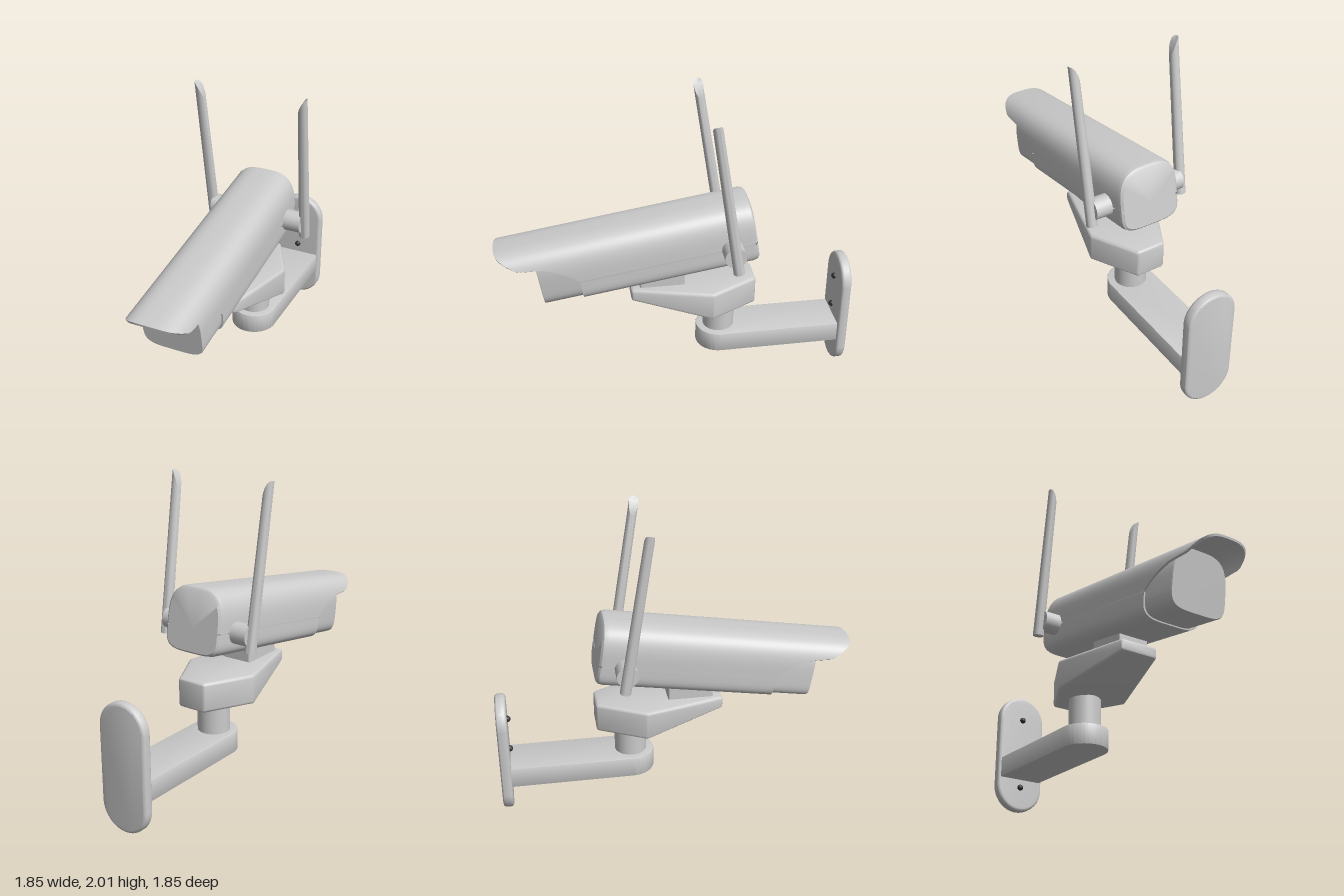
import * as THREE from 'three';
import { toCreasedNormals } from 'three/addons/utils/BufferGeometryUtils.js';
import { RoundedBoxGeometry } from 'three/addons/geometries/RoundedBoxGeometry.js';
import { ConvexGeometry } from 'three/addons/geometries/ConvexGeometry.js';

const grey = new THREE.MeshStandardMaterial({ color: 0xcccccc });
const shell = new THREE.MeshStandardMaterial({ color: 0xcccccc, side: THREE.DoubleSide });
const dark = new THREE.MeshStandardMaterial({ color: 0x333333 });

function add(parent, name, geometry, material = grey, x = 0, y = 0, z = 0) {
  const mesh = new THREE.Mesh(geometry, material);
  mesh.name = name;
  mesh.position.set(x, y, z);
  parent.add(mesh);
  return mesh;
}

// Skin between successive rows of points
function loft(rows) {
  const n = rows[0].length, index = [];
  for (let i = 0; i < rows.length - 1; i++) {
    for (let j = 0; j < n - 1; j++) {
      const a = i * n + j, b = a + n;
      index.push(a, a + 1, b, a + 1, b + 1, b);
    }
  }
  const geo = new THREE.BufferGeometry().setFromPoints(rows.flat());
  geo.setIndex(index);
  return toCreasedNormals(geo, 0.6);
}

// Housing section: a tall soft arch above the seam, a squarer tray below it
function section(from, to, steps) {
  const pts = [];
  for (let i = 0; i <= steps; i++) {
    const a = from + (to - from) * i / steps;
    const c = Math.cos(a), s = Math.sin(a);
    const n = s >= 0 ? 3.2 : 4.2, h = s >= 0 ? 0.26 : 0.155;
    pts.push([
      0.213 * Math.sign(c) * Math.abs(c) ** (2 / n),
      h * Math.sign(s) * Math.abs(s) ** (2 / n),
    ]);
  }
  return pts;
}

// Row of a section scaled by k; z may be a number or a function of height
const row = (sec, k, z, lift = 0) => sec.map(([u, v]) =>
  new THREE.Vector3(u * k, v * k + lift, typeof z === 'function' ? z(v) : z));

// Side cut of the sun visor: [height above seam, forward reach]
const visorCut = [[0, 1.16], [0.04, 1.2], [0.09, 1.275], [0.135, 1.37],
  [0.155, 1.52], [0.2, 1.585], [0.24, 1.635], [0.261, 1.655]];
function visorReach(v) {
  for (let i = 1; i < visorCut.length; i++) {
    const [v0, z0] = visorCut[i - 1], [v1, z1] = visorCut[i];
    if (v <= v1) return z0 + (z1 - z0) * Math.max(0, (v - v0) / (v1 - v0));
  }
  return 1.655;
}

function halfShell(sec, front, lift) {
  return loft([
    row(sec, 0, 0, lift), row(sec, 0.9, 0, lift), row(sec, 0.97, 0.012, lift),
    row(sec, 1, 0.04, lift), row(sec, 1, front, lift),
    row(sec, 0.945, front, lift), row(sec, 0.945, 0.1, lift),
  ]);
}

function buildCamera() {
  const cam = new THREE.Group();
  cam.name = 'cameraHead';

  // Housing
  add(cam, 'visorHood', halfShell(section(0, Math.PI, 64), visorReach, 0.005), shell);
  add(cam, 'lowerShell', halfShell(section(Math.PI, 2 * Math.PI, 48), 1.16, -0.005), shell);
  const full = section(0, 2 * Math.PI, 96);
  add(cam, 'innerBody', loft([
    row(full, 0, 0.02), row(full, 0.95, 0.02), row(full, 0.95, 1.4),
    row(full, 0.93, 1.41), row(full, 0, 1.41),
  ]), shell);

  // Antennas with knobs, one on each side
  for (const side of [1, -1]) {
    const knob = new THREE.CylinderGeometry(0.07, 0.07, 0.14, 24).rotateZ(Math.PI / 2);
    add(cam, 'antennaKnob', knob, grey, side * 0.255, 0, 0.168);

    const length = 1.05, r = 0.034;
    const rod = new THREE.CylinderGeometry(r * 0.9, r * 1.06, length, 24);
    const p = rod.attributes.position;
    for (let i = 0; i < p.count; i++) {
      // slanted tip, highest on the outer side
      if (p.getY(i) > 0) {
        const t = THREE.MathUtils.clamp((r - side * p.getX(i)) / (2 * r), 0, 1);
        p.setY(i, p.getY(i) - 0.13 * t * t);
      }
    }
    const antenna = add(cam, 'antenna', toCreasedNormals(rod, 0.6), grey,
      side * 0.342, -0.106 + length / 2, 0.165);
    antenna.rotation.z = -side * 0.015;
  }
  return cam;
}

// Wedge-shaped bracket: hull of small balls placed on its corners
function bracketGeometry() {
  const ball = new THREE.IcosahedronGeometry(0.022, 1).attributes.position;
  const pts = [];
  // half width, forward position, underside height
  for (const [w, z, low] of [[0.085, -0.475, 0.587], [0.238, -0.18, 0.587], [0.115, 0.318, 0.7]]) {
    for (const x of [w, -w]) {
      for (const y of [low, 0.743]) {
        for (let i = 0; i < ball.count; i++) {
          pts.push(new THREE.Vector3().fromBufferAttribute(ball, i).add(new THREE.Vector3(x, y, z)));
        }
      }
    }
  }
  return toCreasedNormals(new ConvexGeometry(pts), 0.6);
}

export function createModel() {
  const root = new THREE.Group();
  root.name = 'securityCamera';
  const model = new THREE.Group();
  model.name = 'assembly';
  model.rotation.y = -Math.PI / 4;
  root.add(model);

  // Wall plate with screws
  const w = 0.153, h = 0.2425;
  const plate = new THREE.Shape();
  plate.absarc(0, h, w, 0, Math.PI, false);
  plate.absarc(0, -h, w, Math.PI, 2 * Math.PI, false);
  const plateGeo = new THREE.ExtrudeGeometry(plate, {
    depth: 0.03, bevelSize: 0.02, bevelThickness: 0.02, bevelSegments: 4, curveSegments: 24,
  });
  add(model, 'wallPlate', toCreasedNormals(plateGeo, 0.6), grey, 0, 0.415, -1.125);
  for (const y of [0.66, 0.43, 0.165]) {
    add(model, 'screw', new THREE.SphereGeometry(0.021, 16, 12), dark, 0, y, -1.073);
  }

  // Arm with a round end under the post
  const bar = new THREE.Shape();
  bar.moveTo(-0.147, 1.08);
  bar.lineTo(-0.147, 0.265);
  bar.absarc(0, 0.265, 0.147, Math.PI, 2 * Math.PI, false);
  bar.lineTo(0.147, 1.08);
  const barGeo = new THREE.ExtrudeGeometry(bar, {
    depth: 0.124, bevelSize: 0.008, bevelThickness: 0.008, bevelSegments: 2, curveSegments: 32,
  }).rotateX(-Math.PI / 2);
  add(model, 'arm', toCreasedNormals(barGeo, 0.6), grey, 0, 0.23, 0);

  // Post, bracket and mounting block
  add(model, 'post', new THREE.CylinderGeometry(0.106, 0.106, 0.24, 40), grey, 0, 0.465, -0.265);
  add(model, 'bracket', bracketGeometry());
  add(model, 'mountingBlock', new RoundedBoxGeometry(0.216, 0.18, 0.3, 3, 0.012), grey, 0, 0.835, 0.13);

  // Camera head, tipped forward
  const cam = buildCamera();
  cam.position.set(0, 1.1, -0.475);
  cam.rotation.x = THREE.MathUtils.degToRad(9);
  model.add(cam);
  return root;
}
